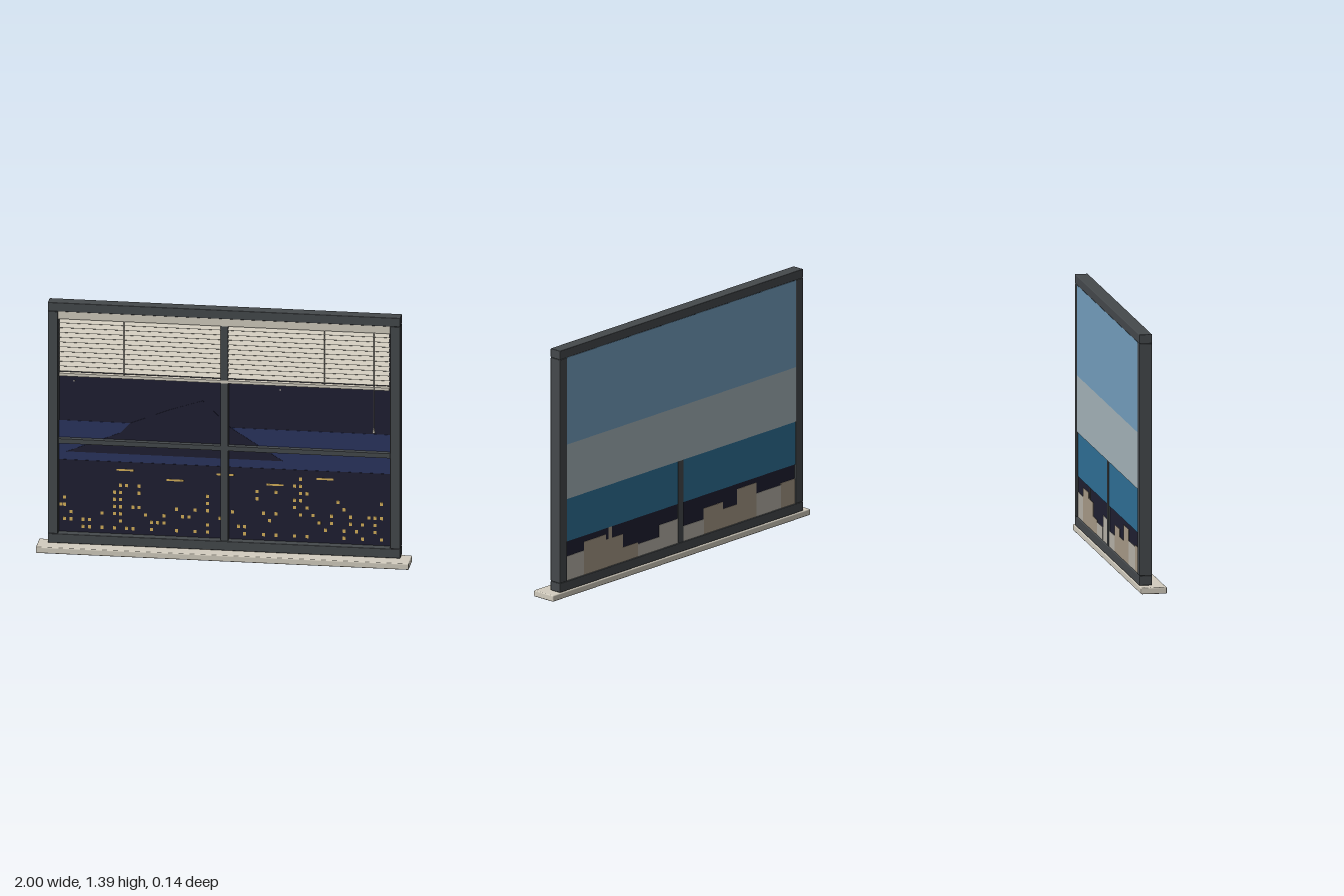
import * as THREE from 'three';
import { RoundedBoxGeometry } from 'three/addons/geometries/RoundedBoxGeometry.js';

const mat = (name, color) => {
  const m = new THREE.MeshStandardMaterial({ color, side: THREE.DoubleSide });
  m.name = name;
  return m;
};

export function createModel() {
  const frame = mat('frameGrey', 0x45494c);
  const cream = mat('cream', 0xd3cdbf);
  const night = mat('nightNavy', 0x1f1f32);
  const navy = mat('duskBlue', 0x2b3560);
  const gold = mat('lampGold', 0xd8b25c);
  const sky = mat('daySky', 0x75a0c0);
  const haze = mat('haze', 0xa6b5bb);
  const sea = mat('sea', 0x2f7097);
  const tan = mat('tanStone', 0xa89b88);
  const stone = mat('paleStone', 0xb8b3aa);

  const model = new THREE.Group();
  model.name = 'window';
  const group = (name) => {
    const g = new THREE.Group();
    g.name = name;
    model.add(g);
    return g;
  };
  // Box given by its limits on each axis; r rounds the edges
  const box = (parent, name, m, [x0, x1], [y0, y1], [z0, z1], r = 0) => {
    const s = [x1 - x0, y1 - y0, z1 - z0];
    const geo = r ? new RoundedBoxGeometry(...s, 2, r) : new THREE.BoxGeometry(...s);
    const mesh = new THREE.Mesh(geo, m);
    mesh.name = name;
    mesh.position.set((x0 + x1) / 2, (y0 + y1) / 2, (z0 + z1) / 2);
    parent.add(mesh);
    return mesh;
  };
  const W = [-0.89, 0.89];
  const plate = (z, t = 0.002) => [z - t / 2, z + t / 2];

  // Sill and outer frame
  box(model, 'sill', cream, [-1, 1], [0, 0.035], [-0.07, 0.07], 0.006);
  const outer = group('frame');
  const depth = [-0.07, 0];
  box(outer, 'bottomRail', frame, [-0.945, 0.945], [0.038, 0.09], depth, 0.004);
  box(outer, 'topRail', frame, [-0.945, 0.945], [1.342, 1.392], depth, 0.004);
  for (const s of [-1, 1]) {
    box(outer, s > 0 ? 'leftStile' : 'rightStile', frame,
      [s * 0.9175 - 0.0275, s * 0.9175 + 0.0275], [0.09, 1.342], depth, 0.004);
  }
  box(outer, 'mullion', frame, [-0.02, 0.02], [0.09, 1.342], [-0.066, -0.008]);
  box(outer, 'crossBar', frame, W, [0.596, 0.622], [-0.042, -0.012]);

  // Night scene on the front
  const nightScene = group('nightScene');
  box(nightScene, 'nightSky', night, W, [0.09, 1.342], plate(-0.052));
  box(nightScene, 'nightWater', navy, W, [0.495, 0.715], plate(-0.049));
  box(nightScene, 'nightCity', night, W, [0.09, 0.495], plate(-0.047));
  const hill = new THREE.Shape([
    [-0.85, 0.54], [0.31, 0.54], [0.03, 0.715], [-0.12, 0.86], [-0.3, 0.8], [-0.51, 0.715], [-0.56, 0.66],
  ].map(([x, y]) => new THREE.Vector2(x, y)));
  const hillMesh = new THREE.Mesh(new THREE.ExtrudeGeometry(hill, { depth: 0.002, bevelEnabled: false }), night);
  hillMesh.name = 'mountain';
  hillMesh.position.z = -0.048;
  nightScene.add(hillMesh);
  for (const x of [-0.81, 0.295]) {
    box(nightScene, 'star', cream, [x - 0.003, x + 0.003], [0.936, 0.942], plate(-0.05));
  }

  // Lit windows: column numbers for each row, from the lowest up
  const litRows = [
    [-23, -22, -20, -18, -16, -15, -12, -8, -5, -3, 3, 6, 8, 11, 13, 19, 22, 25],
    [-26, -25, -23, -22, -17, -12, -11, -10, -3, 2, 3, 16, 19, 21, 24],
    [-25, -20, -18, -17, -13, -10, -7, -6, -1, 7, 15, 17, 20, 22, 24],
    [-26.6, -26, -18, -17, -15, -14, -8, -5, -3, 1, 6, 8, 12, 14, 17, 20, 23, 24, 25],
    [-26, -18, -17, -3, 11, 13, 19],
    [-18, -17, -14, -3, 5, 11, 12, 18, 25],
    [-17, -16, -14, 5, 8, 12, 13],
    [11, 12],
    [12],
  ];
  litRows.forEach((cols, row) => cols.forEach((c) => {
    const x = c * 0.0333 + 0.005, y = 0.122 + row * 0.0402;
    box(nightScene, 'litWindow', gold, [x - 0.008, x + 0.008], [y - 0.009, y + 0.009], plate(-0.0455));
  }));
  for (let i = -2; i <= 2; i++) {
    const x = i * 0.268, y = i % 2 ? 0.405 : 0.45;
    box(nightScene, 'roofLight', gold, [x - 0.046, x + 0.046], [y - 0.005, y + 0.005], plate(-0.0455));
  }

  // Day scene on the back
  const dayScene = group('dayScene');
  box(dayScene, 'daySky', sky, W, [0.855, 1.342], plate(-0.068));
  box(dayScene, 'dayHaze', haze, W, [0.55, 0.855], plate(-0.068));
  box(dayScene, 'daySea', sea, W, [0.31, 0.55], plate(-0.063));
  box(dayScene, 'darkShore', night, W, [0.09, 0.31], plate(-0.058));
  const buildings = [
    [0.75, 0.89, 0.226, stone], [0.58, 0.75, 0.275, tan], [0.535, 0.56, 0.32, tan],
    [0.45, 0.58, 0.245, tan], [0.33, 0.45, 0.17, tan], [0.165, 0.33, 0.16, stone],
    [0.02, 0.165, 0.226, stone], [-0.18, 0.02, 0.175, stone], [-0.33, -0.18, 0.235, tan],
    [-0.44, -0.33, 0.195, tan], [-0.59, -0.44, 0.28, tan], [-0.78, -0.59, 0.22, stone],
    [-0.89, -0.78, 0.23, tan],
  ];
  buildings.forEach(([x0, x1, top, m], i) => {
    box(dayScene, 'building', m, [x0, x1], [0.09, top], plate(-0.0615 - (i % 2) * 0.0005));
  });

  // Blind with tilted slats, bottom bar and cords
  const blind = group('blind');
  box(blind, 'headRail', cream, W, [1.3, 1.342], [-0.045, -0.005]);
  for (let i = 0; i < 11; i++) {
    const y = 1.285 - i * 0.027;
    const slat = box(blind, 'slat', cream, [-0.885, 0.885], [y - 0.001, y + 0.001], [-0.036, -0.008]);
    slat.rotation.x = 0.85;
  }
  box(blind, 'bottomBar', cream, [-0.885, 0.885], [0.978, 0.994], [-0.034, -0.006]);
  const cord = (name, x, y0, y1, z, r0, r1) => {
    const mesh = new THREE.Mesh(new THREE.CylinderGeometry(r0, r1, y1 - y0, 8), stone);
    mesh.name = name;
    mesh.position.set(x, (y0 + y1) / 2, z);
    blind.add(mesh);
  };
  for (const x of [-0.538, 0.538]) cord('ladderCord', x, 0.985, 1.3, -0.009, 0.002, 0.002);
  cord('pullCord', 0.803, 0.76, 1.3, -0.004, 0.002, 0.002);
  cord('cordTassel', 0.803, 0.738, 0.766, -0.004, 0.004, 0.008);

  return model;
}
